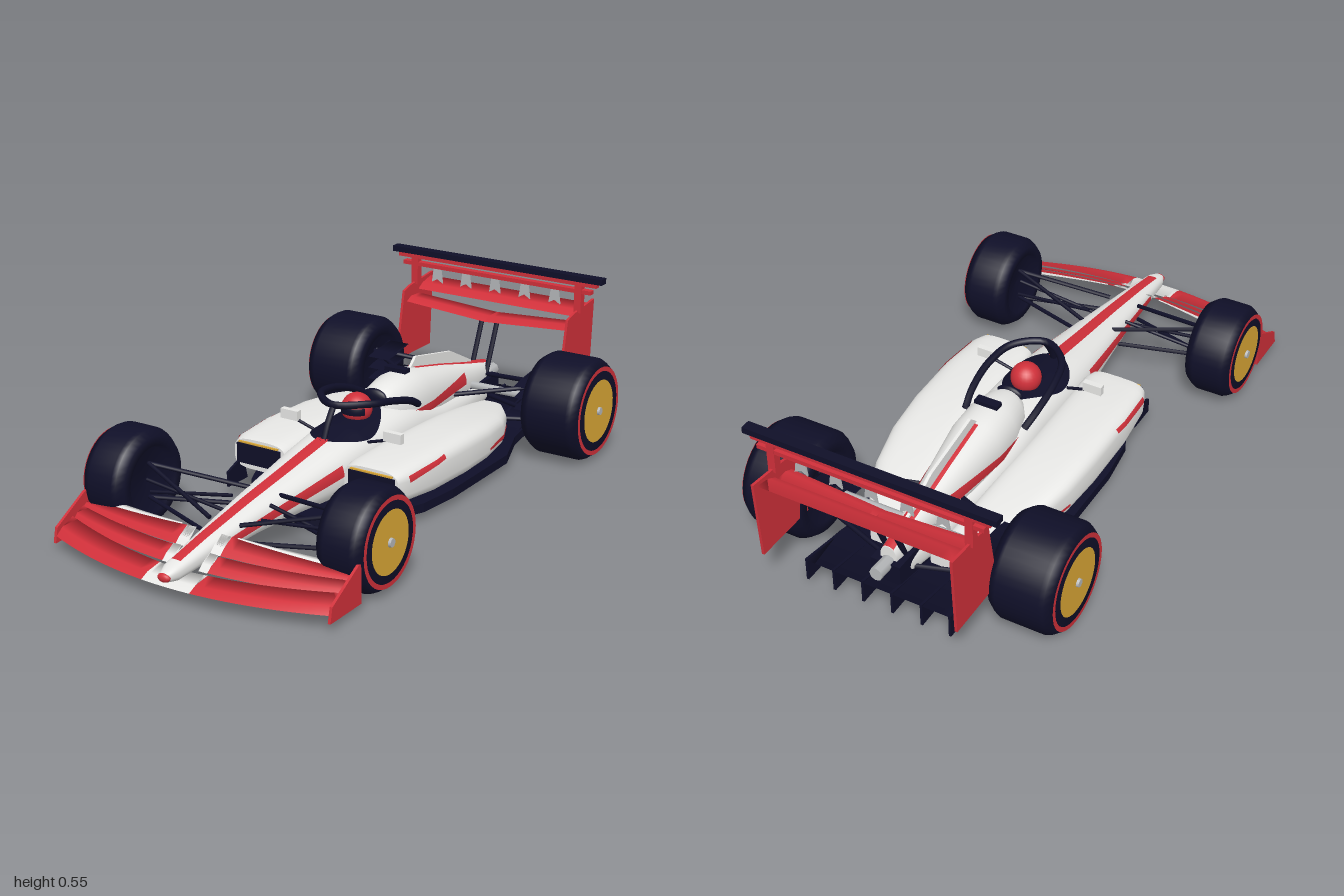
import * as THREE from 'three';

const mat = (name, color) => new THREE.MeshStandardMaterial({ name, color, side: THREE.DoubleSide });

export function createModel() {
  const car = new THREE.Group();
  car.name = 'racingCar';
  const white = mat('white', 0xe8e8e6), red = mat('red', 0xd0303a), dark = mat('navyBlack', 0x0f0f28);
  const yellow = mat('gold', 0xdba736), grey = mat('grey', 0xb4b6b8);

  const add = (name, geo, m, parent = car) => {
    const mesh = new THREE.Mesh(geo, m);
    mesh.name = name;
    parent.add(mesh);
    return mesh;
  };
  const box = (name, m, w, h, d, x, y, z) => add(name, new THREE.BoxGeometry(w, h, d).translate(x, y, z), m);
  const rod = (name, m, a, b, r) => {
    const A = new THREE.Vector3(...a), B = new THREE.Vector3(...b);
    const mesh = add(name, new THREE.CylinderGeometry(r, r, A.distanceTo(B), 8), m);
    mesh.position.copy(A).lerp(B, 0.5);
    mesh.quaternion.setFromUnitVectors(new THREE.Vector3(0, 1, 0), B.sub(A).normalize());
  };
  const tube = (name, m, pts, r) => add(name, new THREE.TubeGeometry(
    new THREE.CatmullRomCurve3(pts.map(p => new THREE.Vector3(...p))), 40, r, 8), m);

  // Surface from rows of points
  const skin = rows => {
    const n = rows[0].length, idx = [];
    for (let i = 0; i < rows.length - 1; i++) for (let j = 0; j < n - 1; j++) {
      const a = i * n + j;
      idx.push(a, a + n, a + 1, a + 1, a + n, a + n + 1);
    }
    const g = new THREE.BufferGeometry();
    g.setAttribute('position', new THREE.Float32BufferAttribute(rows.flat(2), 3));
    g.setIndex(idx);
    g.computeVertexNormals();
    return g;
  };
  // Section table rows: z, inner x, outer x, bottom y, top y
  const at = (table, z) => {
    let i = 0;
    while (i < table.length - 2 && z < table[i + 1][0]) i++;
    const a = table[i], b = table[i + 1], t = (z - a[0]) / (b[0] - a[0]);
    const [, x0, x1, y0, y1] = a.map((v, k) => v + (b[k] - v) * t);
    return { cx: (x0 + x1) / 2, w: (x1 - x0) / 2, cy: (y0 + y1) / 2, h: (y1 - y0) / 2 };
  };
  const pow = (v, e) => Math.sign(v) * Math.abs(v) ** e;
  const hull = (name, m, table, p) => {
    const ring = (z, k = 1) => {
      const { cx, w, cy, h } = at(table, z), pts = [];
      for (let i = 0; i <= 36; i++) {
        const a = i / 36 * Math.PI * 2 - Math.PI / 2;
        pts.push([cx + k * w * pow(Math.cos(a), 2 / p), cy + k * h * pow(Math.sin(a), 2 / p), z]);
      }
      return pts;
    };
    const zs = table.map(r => r[0]), first = zs[0], last = zs.at(-1);
    return add(name, skin([ring(first, 0), ring(first), ...zs.map(z => ring(z)), ring(last), ring(last, 0)]), m);
  };
  // Painted ribbons lying on a hull: over the top, or along one side
  const curve = (v, r, p) => Math.max(0, 1 - Math.min(1, Math.abs(v) / r) ** p) ** (1 / p);
  const ribbon = (name, m, table, p, z0, z1, lo, hi, side = 0) => {
    const rows = [];
    for (let i = 0; i <= 32; i++) {
      const t = i / 32, z = z0 + (z1 - z0) * t, { cx, w, cy, h } = at(table, z), row = [];
      for (let j = 0; j <= 8; j++) {
        const v = lo(t) + (hi(t) - lo(t)) * j / 8;
        row.push(side ? [cx + side * (w * curve(v - cy, h, p) + 0.003), v, z]
          : [v, cy + h * curve(v - cx, w, p) + 0.003, z]);
      }
      rows.push(row);
    }
    add(name, skin(rows), m);
  };
  // Plate in the z-y plane, and slab in the x-z plane
  const extrude = (pts, depth) => new THREE.ExtrudeGeometry(
    new THREE.Shape(pts.map(p => new THREE.Vector2(...p))), { depth, bevelEnabled: false });
  const plate = (name, m, pts, x, t) => add(name, extrude(pts, t).rotateY(-Math.PI / 2).translate(x + t / 2, 0, 0), m);
  // Wing element: f(x) gives leading z, y and trailing z, y
  const wing = (name, m, x0, x1, t, f) => {
    const rows = [];
    for (let i = 0; i <= 14; i++) {
      const x = x0 + (x1 - x0) * i / 14, [zl, yl, zt, yt] = f(x);
      const mid = k => [x, yl + (yt - yl) * 0.35 + k * t, zl + (zt - zl) * 0.35];
      rows.push([[x, yl, zl], mid(0.6), [x, yt, zt], mid(-0.6), [x, yl, zl]]);
    }
    add(name, skin(rows), m);
  };

  // Nose, survival cell and tail
  const sym = ([z, w, y0, y1]) => [z, -w, w, y0, y1];
  const body = [[0.985, 0.018, 0.064, 0.092], [0.95, 0.031, 0.057, 0.106], [0.8, 0.046, 0.068, 0.137], [0.6, 0.066, 0.075, 0.172],
    [0.4, 0.09, 0.07, 0.202], [0.25, 0.108, 0.06, 0.226], [0.1, 0.12, 0.05, 0.25], [-0.1, 0.122, 0.05, 0.262],
    [-0.22, 0.12, 0.05, 0.25], [-0.4, 0.1, 0.05, 0.2], [-0.6, 0.075, 0.06, 0.175], [-0.82, 0.045, 0.08, 0.17]].map(sym);
  hull('body', white, body, 2.5);
  const cover = [[-0.1, 0.05, 0.15, 0.3], [-0.14, 0.075, 0.14, 0.318], [-0.22, 0.09, 0.12, 0.332], [-0.32, 0.09, 0.12, 0.325],
    [-0.5, 0.066, 0.12, 0.285], [-0.68, 0.045, 0.12, 0.24], [-0.82, 0.028, 0.13, 0.21]].map(sym);
  hull('engineCover', white, cover, 2.2);
  const k = v => () => v;
  ribbon('noseStripe', red, body, 2.5, 0.93, 0.19, t => -0.016 - 0.006 * t, t => 0.016 + 0.006 * t);
  ribbon('coverStripe', red, cover, 2.2, -0.33, -0.82, k(-0.018), k(0.018));
  ribbon('cockpitOpening', dark, body, 2.5, 0.21, -0.12,
    t => -0.1 * Math.sin(Math.PI * t ** 0.8) ** 0.8, t => 0.1 * Math.sin(Math.PI * t ** 0.8) ** 0.8);
  add('noseTip', new THREE.SphereGeometry(1, 16, 10).scale(0.022, 0.014, 0.012).translate(0, 0.078, 0.984), red);
  plate('engineFin', white, [[-0.3, 0.31], [-0.35, 0.355], [-0.58, 0.31], [-0.72, 0.24], [-0.72, 0.2], [-0.3, 0.28]], 0, 0.01);
  add('airIntake', new THREE.SphereGeometry(1, 16, 10).scale(0.045, 0.028, 0.015).translate(0, 0.287, -0.105), dark);
  box('rollCamera', dark, 0.08, 0.014, 0.03, 0, 0.342, -0.24);
  rod('antenna', dark, [0, 0.23, 0.19], [0, 0.262, 0.18], 0.004);

  // Driver helmet and halo
  add('helmet', new THREE.SphereGeometry(0.05, 24, 16).translate(0, 0.282, 0), red);
  add('visor', new THREE.SphereGeometry(0.0515, 20, 6, Math.PI * 0.15, Math.PI * 0.7, 1.35, 0.45).translate(0, 0.282, 0), dark);
  tube('haloHoop', dark, [[-0.105, 0.255, -0.2], [-0.116, 0.285, -0.14], [-0.117, 0.318, -0.03], [-0.09, 0.332, 0.07], [0, 0.332, 0.135],
    [0.09, 0.332, 0.07], [0.117, 0.318, -0.03], [0.116, 0.285, -0.14], [0.105, 0.255, -0.2]], 0.012);
  tube('haloPillar', dark, [[0, 0.225, 0.19], [0, 0.28, 0.165], [0, 0.332, 0.13]], 0.01);

  // Floor and diffuser
  const edge = [[0.08, 0.38], [0.15, 0.34], [0.25, 0.23], [0.31, 0.1], [0.328, -0.05], [0.328, -0.4], [0.27, -0.56], [0.255, -0.66]];
  const outline = [...edge.map(([x, z]) => [x, -z]), ...edge.map(([x, z]) => [-x, -z]).reverse()];
  add('floor', extrude(outline, 0.03).rotateX(-Math.PI / 2).translate(0, 0.03, 0), dark);
  wing('diffuserRoof', dark, -0.25, 0.25, 0.01, () => [-0.6, 0.05, -0.89, 0.105]);
  for (const x of [-0.245, -0.15, -0.05, 0.05, 0.15, 0.245])
    plate('diffuserFin', dark, [[-0.62, 0.035], [-0.89, 0.03], [-0.89, 0.11], [-0.62, 0.06]], x, 0.008);
  rod('exhaust', grey, [0, 0.155, -0.78], [0, 0.16, -0.89], 0.022);
  box('gearbox', dark, 0.1, 0.09, 0.2, 0, 0.12, -0.74);

  // Front wing: white centre, red flaps
  const main = x => [0.985 - 0.42 * x * x, 0.05, 0.9 - 0.38 * x * x, 0.068 + 0.04 * Math.abs(x)];
  wing('frontWingCentre', white, -0.085, 0.085, 0.01, main);
  for (const s of [-1, 1]) {
    wing('frontWingMain', red, s * 0.085, s * 0.49, 0.01, main);
    wing('frontWingFlap', red, s * 0.08, s * 0.49, 0.008, x => [0.893 - 0.36 * x * x, 0.075, 0.838 - 0.32 * x * x, 0.105]);
    wing('frontWingFlapRoot', white, s * 0.05, s * 0.08, 0.008, x => [0.893, 0.075, 0.838, 0.11]);
    const upper = x => [0.832 - 0.3 * x * x, 0.105 - 0.01 * Math.abs(x), 0.775 - 0.2 * x * x, 0.148 - 0.07 * Math.abs(x)];
    wing('frontWingUpperFlap', red, s * 0.08, s * 0.49, 0.007, upper);
    wing('upperFlapRoot', white, s * 0.045, s * 0.08, 0.007, upper);
    wing('upperFlapTrim', white, s * 0.1, s * 0.45, 0.004, x => {
      const [, , z, y] = upper(x);
      return [z, y, z - 0.06 * Math.abs(x), y + 0.012 * Math.abs(x)];
    });
    plate('frontEndplate', red, [[0.89, 0.028], [0.88, 0.075], [0.75, 0.148], [0.735, 0.148], [0.735, 0.028]], s * 0.49, 0.009);
  }

  // Rear wing
  wing('rearWingMain', red, -0.325, 0, 0.016, x => [-0.82, 0.35 + 0.07 * -x, -0.905, 0.365 + 0.06 * -x]);
  wing('rearWingMain', red, 0, 0.325, 0.016, x => [-0.82, 0.35 + 0.07 * x, -0.905, 0.365 + 0.06 * x]);
  wing('rearWingFlap', red, -0.325, 0.325, 0.012, () => [-0.9, 0.4, -0.985, 0.43]);
  box('lightBar', dark, 0.83, 0.02, 0.034, 0, 0.543, -0.892);
  box('upperRail', red, 0.785, 0.014, 0.024, 0, 0.525, -0.892);
  box('lowerRail', red, 0.745, 0.014, 0.024, 0, 0.498, -0.892);
  for (let i = -2; i <= 2; i++) {
    const g = extrude([[-0.014, 0.492], [-0.022, 0.44], [0, 0.453], [0.022, 0.44], [0.014, 0.492]], 0.006);
    add('railPennant', g.translate(i * 0.117, 0, -0.89), grey);
  }

  // Wheels, lathe axis turned to face outwards
  const wheel = (name, s, x, y, z, r, hw, ringR, capR) => {
    const g = new THREE.Group();
    g.name = name;
    g.position.set(s * x, y, z);
    g.rotation.z = -s * Math.PI / 2;
    car.add(g);
    const b = 0.022;
    const profile = [[0, -hw + 0.03], [capR, -hw + 0.02], [capR + 0.01, -hw], [r - b, -hw], [r - 0.006, -hw + b], [r, -hw + b * 1.6],
      [r, hw - b * 1.6], [r - 0.006, hw - b], [r - b, hw], [0, hw]].map(p => new THREE.Vector2(...p));
    add('tyre', new THREE.LatheGeometry(profile, 40), dark, g);
    const disc = (n, m, r0, r1, h) => add(n, new THREE.RingGeometry(r0, r1, 40).rotateX(-Math.PI / 2).translate(0, hw + h, 0), m, g);
    disc('tyreBand', red, ringR - 0.015, ringR, 0.002);
    disc('wheelCover', yellow, 0, capR, 0.003);
    add('wheelNut', new THREE.CylinderGeometry(0.013, 0.015, 0.014, 12).translate(0, hw + 0.004, 0), grey, g);
  };

  const pod = [[0.24, 0.11, 0.305, 0.1, 0.2], [0.2, 0.1, 0.32, 0.09, 0.206], [0.05, 0.1, 0.332, 0.075, 0.212], [-0.15, 0.1, 0.33, 0.065, 0.207],
    [-0.3, 0.09, 0.318, 0.06, 0.193], [-0.45, 0.08, 0.285, 0.055, 0.17], [-0.58, 0.07, 0.225, 0.055, 0.143], [-0.69, 0.06, 0.15, 0.06, 0.115]];
  for (const s of [-1, 1]) {
    // Sidepods with inlet
    const mine = pod.map(([z, a, b, y0, y1]) => [z, ...(s > 0 ? [a, b] : [-b, -a]), y0, y1]);
    hull('sidepod', white, mine, 3.6);
    box('podInlet', dark, 0.165, 0.065, 0.008, s * 0.21, 0.15, 0.242);
    box('inletTrim', yellow, 0.15, 0.005, 0.008, s * 0.21, 0.188, 0.243);
    ribbon('podStripe', red, mine, 3.6, 0.2, 0, t => 0.165 + 0.015 * t, t => 0.185 + 0.008 * t, s);
    ribbon('podRearStripe', red, mine, 3.6, -0.3, -0.55, t => 0.105 - 0.02 * t, t => 0.115 - 0.01 * t, s);
    ribbon('noseSideStripe', red, body, 2.5, 0.82, 0.24, t => 0.092 + 0.06 * t, t => 0.112 + 0.075 * t, s);
    ribbon('coverSideStripe', red, cover, 2.2, -0.16, -0.6, t => 0.2 - 0.005 * t, t => 0.225 + 0.01 * t, s);
    plate('floorVane', dark, [[0.3, 0.05], [0.3, 0.1], [0.22, 0.13], [0.2, 0.05]], s * 0.29, 0.008);

    // Mirrors
    box('mirror', white, 0.065, 0.032, 0.02, s * 0.193, 0.25, 0.09);
    rod('mirrorStalk', dark, [s * 0.1, 0.215, 0.09], [s * 0.18, 0.238, 0.088], 0.005);

    // Wheels and suspension
    wheel('frontWheel', s, 0.422, 0.164, 0.6, 0.158, 0.078, 0.137, 0.097);
    wheel('rearWheel', s, 0.424, 0.176, -0.652, 0.173, 0.104, 0.15, 0.106);
    for (const [z, y] of [[0.7, 0.145], [0.5, 0.17]]) {
      rod('frontUpperArm', dark, [s * 0.055, y, z], [s * 0.36, 0.215, 0.6], 0.007);
      rod('frontLowerArm', dark, [s * 0.055, y - 0.055, z], [s * 0.36, 0.105, 0.6], 0.007);
    }
    rod('frontPushRod', dark, [s * 0.07, 0.165, 0.57], [s * 0.36, 0.12, 0.595], 0.006);
    rod('frontTrackRod', dark, [s * 0.06, 0.13, 0.61], [s * 0.36, 0.165, 0.61], 0.006);
    for (const z of [-0.5, -0.76]) {
      rod('rearUpperArm', dark, [s * 0.05, 0.185, z], [s * 0.36, 0.235, -0.652], 0.008);
      rod('rearLowerArm', dark, [s * 0.05, 0.11, z], [s * 0.36, 0.11, -0.652], 0.008);
    }
    rod('driveShaft', grey, [s * 0.03, 0.175, -0.655], [s * 0.34, 0.176, -0.655], 0.014);
    for (const y of [0.16, 0.2, 0.24])
      wing('rearBrakeWinglet', dark, s * 0.25, s * 0.33, 0.006, () => [-0.58, y - 0.01, -0.72, y + 0.012]);

    // Rear wing endplates, posts and pylons
    plate('rearEndplate', red, [[-0.76, 0.17], [-0.985, 0.17], [-1, 0.443], [-0.85, 0.427], [-0.805, 0.415]], s * 0.325, 0.009);
    box('railPost', red, 0.026, 0.105, 0.026, s * 0.325, 0.475, -0.892);
    rod('wingPylon', dark, [s * 0.03, 0.17, -0.78], [s * 0.03, 0.362, -0.86], 0.009);
  }
  return car;
}
